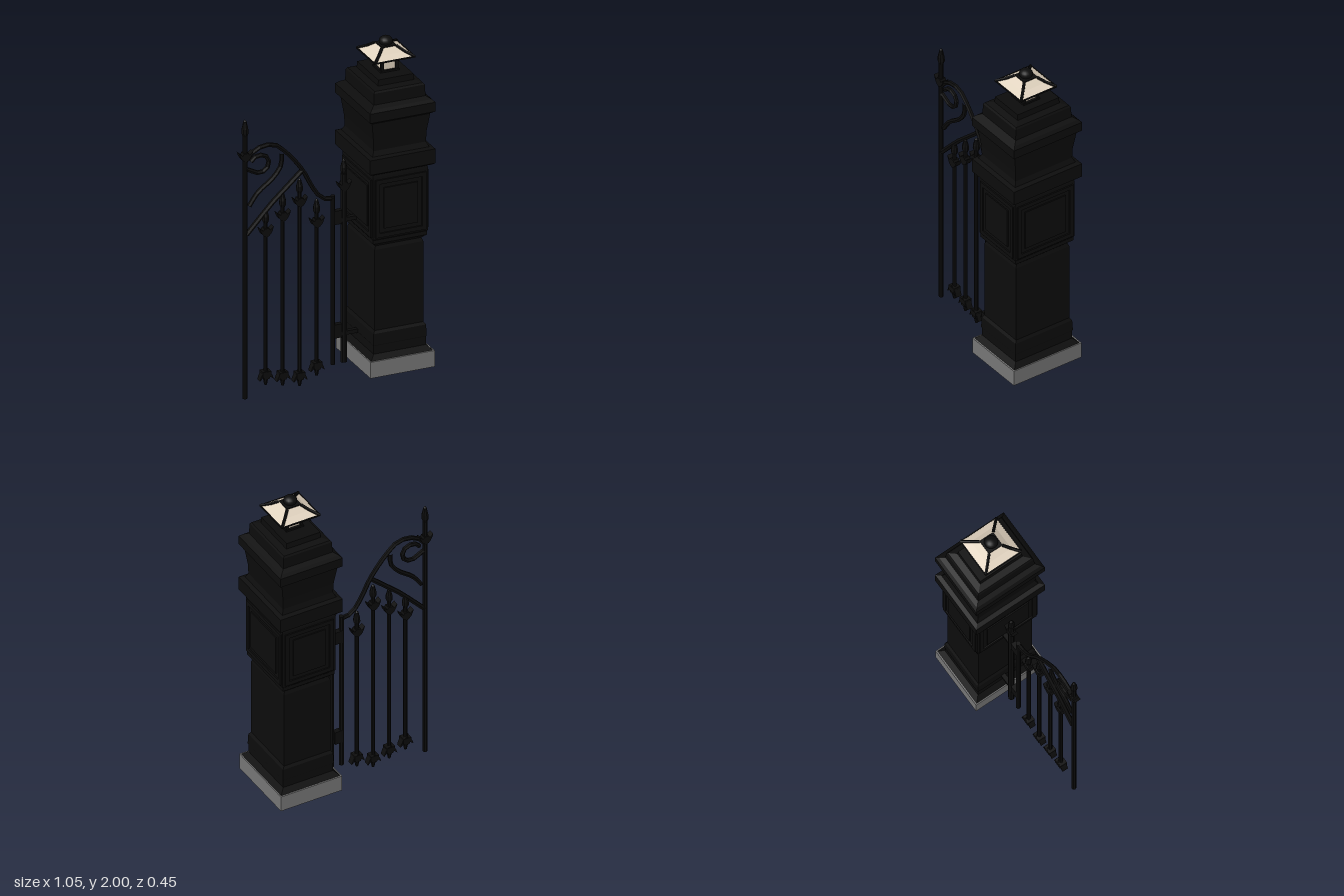
import * as THREE from 'three';

const iron = new THREE.MeshStandardMaterial({ color: 0x0c0c0c });
const stone = new THREE.MeshStandardMaterial({ color: 0x777777 });
const glass = new THREE.MeshStandardMaterial({ color: 0xe2d4c0 });
iron.name = 'black iron'; stone.name = 'grey stone'; glass.name = 'cream glass';

const PX = 0.33;      // pillar centre
const GZ = -0.024;    // gate plane

function flat(geo) {
  const g = geo.index ? geo.toNonIndexed() : geo;
  g.computeVertexNormals();
  return g;
}

function add(parent, name, geo, mat, x = 0, y = 0, z = 0) {
  const m = new THREE.Mesh(geo, mat);
  m.name = name;
  m.position.set(x, y, z);
  parent.add(m);
  return m;
}

const box = (w, h, d) => new THREE.BoxGeometry(w, h, d);

// Four-sided profile of [half width, y]; extra stretches the depth
function squareProfile(points, extra = 0) {
  const pts = points.map(([r, y]) => new THREE.Vector2(r * Math.SQRT2, y));
  const g = new THREE.LatheGeometry(pts, 4);
  g.rotateY(Math.PI / 4);
  const p = g.attributes.position;
  for (let i = 0; i < p.count; i++) {
    const z = p.getZ(i);
    if (Math.abs(z) > 0.001) p.setZ(i, z + Math.sign(z) * extra);
  }
  return flat(g);
}

// Rectangular frame, facing +z
function frameGeometry(w, h, t, depth) {
  const rect = (P, a, b) => new P([[-a, -b], [a, -b], [a, b], [-a, b]].map(c => new THREE.Vector2(...c)));
  const s = rect(THREE.Shape, w / 2, h / 2);
  s.holes.push(rect(THREE.Path, w / 2 - t, h / 2 - t));
  return new THREE.ExtrudeGeometry(s, { depth, bevelEnabled: false });
}

function makePillar() {
  const g = new THREE.Group();
  g.name = 'pillar';
  g.position.x = PX;
  add(g, 'footing', box(0.38, 0.095, 0.45), stone, 0, 0.1475, 0);
  add(g, 'pillarBody', squareProfile([
    [0, 0.195], [0.183, 0.195], [0.155, 0.222], [0.155, 0.27], [0.158, 0.275], [0.155, 0.34],
    [0.144, 0.355], [0.144, 0.83], [0.136, 0.85], [0.148, 0.862], [0.16, 0.872], [0.16, 0.895],
    [0.164, 0.9], [0.164, 1.265], [0.16, 1.285], [0.18, 1.29], [0.193, 1.3], [0.193, 1.385],
    [0.168, 1.392], [0.155, 1.42], [0.157, 1.48], [0.17, 1.575], [0.172, 1.59], [0.193, 1.605],
    [0.193, 1.66], [0.178, 1.675], [0.153, 1.69], [0.15, 1.755], [0.143, 1.765], [0.106, 1.775],
    [0.104, 1.81], [0, 1.81]], 0.033), iron);
  // Framed panels on the four faces of the upper block
  for (let i = 0; i < 4; i++) {
    const side = new THREE.Group();
    side.name = 'panel';
    side.rotation.y = i * Math.PI / 2;
    const half = i % 2 ? 0.164 : 0.197;
    const w = i % 2 ? 0.37 : 0.30;
    add(side, 'panelFrame', frameGeometry(w, 0.34, 0.025, 0.008), iron, 0, 1.08, half);
    add(side, 'panelField', box(w - 0.1, 0.24, 0.008), iron, 0, 1.08, half + 0.003);
    g.add(side);
  }
  return g;
}

function makeLantern() {
  const g = new THREE.Group();
  g.name = 'lantern';
  g.position.set(PX, 0, 0.007);
  add(g, 'lanternBase', box(0.11, 0.012, 0.11), iron, 0, 1.814, 0);
  add(g, 'lanternGlass', box(0.08, 0.08, 0.08), glass, 0, 1.86, 0);
  add(g, 'lanternHead', box(0.1, 0.01, 0.1), iron, 0, 1.9, 0);
  const slope = [[0.117, 1.903], [0.078, 1.924], [0.042, 1.952]];
  add(g, 'roofPanes', squareProfile(slope), glass);
  add(g, 'roofUnderside', squareProfile(slope.map(([r, y]) => [r, y - 0.003]).reverse()), iron);
  for (const sx of [-1, 1]) for (const sz of [-1, 1]) {
    add(g, 'lanternPost', box(0.016, 0.09, 0.016), iron, sx * 0.043, 1.86, sz * 0.043);
    add(g, 'roofRib', bar(slope.map(([r, y]) => [sx * r, y, sz * r]), 0.009), iron);
  }
  // Rim around the eaves
  for (let i = 0; i < 4; i++) {
    const rim = add(g, 'roofRim', box(0.24, 0.008, 0.006), iron, 0, 1.902, 0);
    rim.geometry.translate(0, 0, 0.118);
    rim.rotation.y = i * Math.PI / 2;
  }
  add(g, 'roofCap', box(0.088, 0.012, 0.088), iron, 0, 1.95, 0);
  const ball = add(g, 'ballFinial', new THREE.SphereGeometry(0.038, 16, 12), iron, 0, 1.972, 0);
  ball.scale.y = 0.74;
  return g;
}

// Straight-jointed bent bar through 3D points
function bar(points, r) {
  const path = new THREE.CurvePath();
  const v = points.map(p => new THREE.Vector3(...p));
  for (let i = 1; i < v.length; i++) path.add(new THREE.LineCurve3(v[i - 1], v[i]));
  return flat(new THREE.TubeGeometry(path, (v.length - 1) * 3, r, 6, false));
}

// Smooth bent bar in the gate plane
function scroll(points, segments, r = 0.013) {
  const curve = new THREE.CatmullRomCurve3(points.map(([x, y]) => new THREE.Vector3(x, y, GZ)));
  return flat(new THREE.TubeGeometry(curve, segments, r, 6, false));
}

// Crescent leaf with its tips up
function crescentGeometry() {
  const s = new THREE.Shape();
  s.moveTo(-0.041, 0.036);
  s.quadraticCurveTo(-0.03, -0.012, 0, -0.022);
  s.quadraticCurveTo(0.03, -0.012, 0.041, 0.036);
  s.lineTo(0.02, 0.018);
  s.lineTo(0.014, 0.03);
  s.lineTo(-0.014, 0.03);
  s.lineTo(-0.02, 0.018);
  const g = new THREE.ExtrudeGeometry(s, { depth: 0.036, bevelEnabled: false, curveSegments: 4 });
  return g.translate(0, 0, -0.018);
}

function spear(h) {
  return flat(new THREE.LatheGeometry([[0, 0], [0.013, 0], [0.02, 0.2], [0.019, 0.45], [0.009, 0.9], [0, 1]]
    .map(([r, y]) => new THREE.Vector2(r, y * h)), 8));
}

// Upright with optional spear head and leaves
function makePicket(name, x, y0, y1, { r = 0.012, leaf, foot, tip = 0.085 } = {}) {
  const g = new THREE.Group();
  g.name = name;
  g.position.set(x, 0, GZ);
  const top = y1 - tip;
  const bottom = foot ? y0 + 0.03 : y0;
  add(g, 'shaft', flat(new THREE.CylinderGeometry(r, r, top - bottom, 8)), iron, 0, (top + bottom) / 2, 0);
  if (tip) add(g, 'spearHead', spear(tip), iron, 0, top, 0);
  if (leaf) add(g, 'upperLeaf', crescentGeometry(), iron, 0, leaf, 0);
  if (foot) {
    const low = add(g, 'lowerLeaf', crescentGeometry(), iron, 0, foot, 0);
    low.rotation.z = Math.PI;
    add(g, 'footCollar', box(0.05, 0.03, 0.045), iron, 0, foot, 0);
    add(g, 'footTip', flat(new THREE.CylinderGeometry(0.015, 0.008, 0.035, 8)), iron, 0, y0 + 0.0175, 0);
  }
  return g;
}

function makeGate() {
  const g = new THREE.Group();
  g.name = 'gate';
  g.add(makePicket('endPost', -0.49, 0, 1.645, { r: 0.0135, leaf: 1.42, tip: 0.1 }));
  // Spear pickets: x, bottom, top
  for (const [x, y0, y1] of [[-0.368, 0.06, 1.1], [-0.267, 0.037, 1.175], [-0.167, 0.016, 1.24], [-0.066, 0.058, 1.1]])
    g.add(makePicket('picket', x, y0, y1, { leaf: y1 - 0.145, foot: y0 + 0.067 }));
  g.add(makePicket('hingeStile', 0.03, 0.105, 1.1, { r: 0.014, tip: 0 }));
  g.add(makePicket('hingePost', 0.095, 0.108, 1.305, { r: 0.018, leaf: 1.14 }));

  // Curved head rail, scroll and braces
  add(g, 'topRail', scroll([[-0.485, 1.4], [-0.43, 1.455], [-0.325, 1.468], [-0.245, 1.405], [-0.15, 1.285],
    [-0.087, 1.165], [-0.03, 1.095], [0.035, 1.083]], 14), iron);
  add(g, 'curl', scroll([[-0.48, 1.35], [-0.4, 1.315], [-0.357, 1.34], [-0.352, 1.39], [-0.385, 1.417],
    [-0.435, 1.412], [-0.455, 1.39]], 9), iron);
  add(g, 'curvedBrace', scroll([[-0.465, 1.13], [-0.415, 1.2], [-0.325, 1.27], [-0.277, 1.335], [-0.272, 1.405]], 9), iron);
  add(g, 'diagonalBrace', bar([[-0.48, 0.965, GZ], [-0.335, 1.12, GZ], [-0.15, 1.285, GZ]], 0.014), iron);

  // Hinges and wall brackets
  for (const y of [0.3, 0.97]) {
    add(g, 'hinge', box(0.045, 0.08, 0.03), iron, 0.055, y, GZ);
    add(g, 'wallBracket', box(0.12, 0.022, 0.025), iron, 0.14, y - 0.02, GZ);
  }
  return g;
}

export function createModel() {
  const model = new THREE.Group();
  model.name = 'gateWithLanternPillar';
  model.add(makePillar(), makeLantern(), makeGate());
  return model;
}
